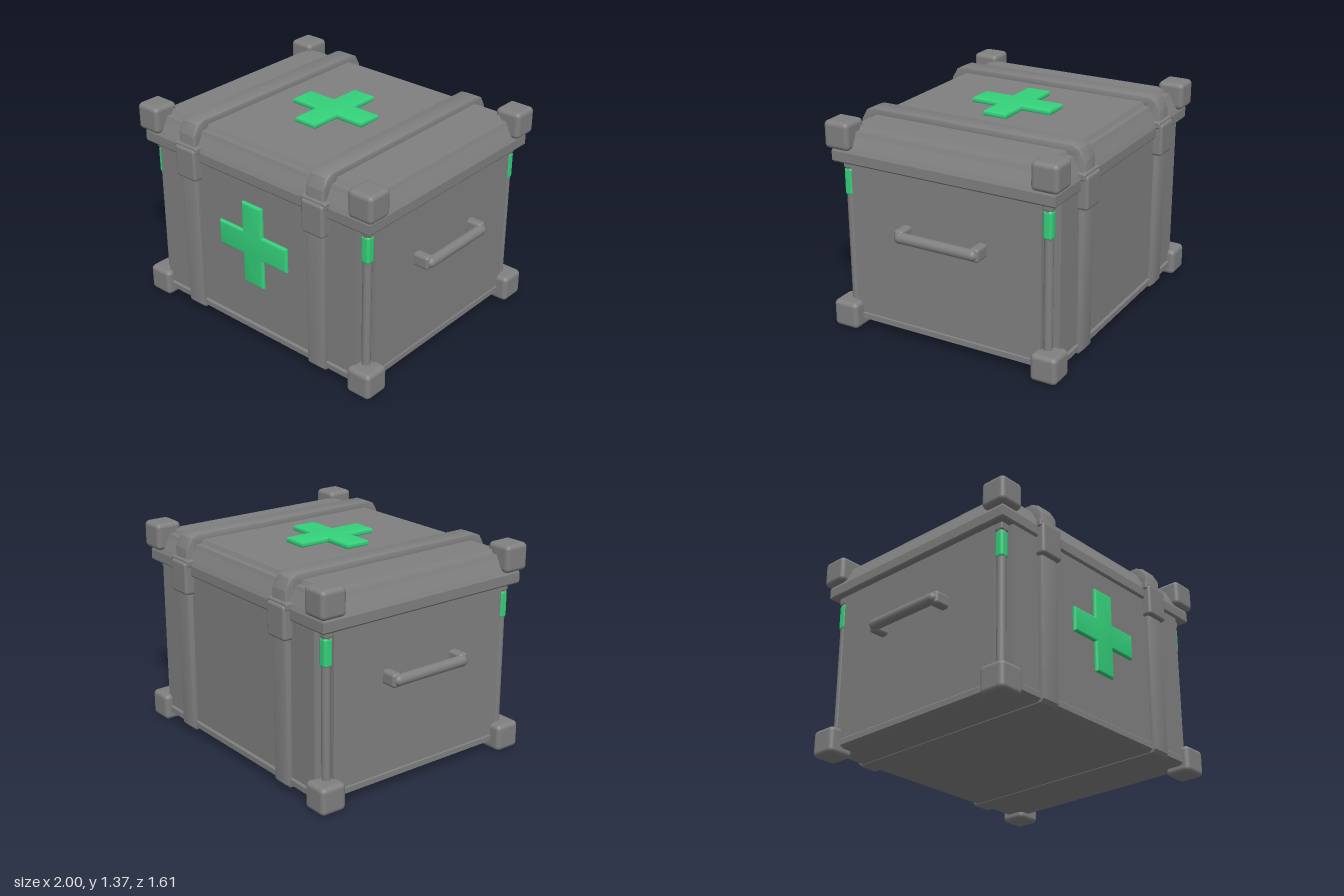
import * as THREE from 'three';
import { RoundedBoxGeometry } from 'three/addons/geometries/RoundedBoxGeometry.js';
import { toCreasedNormals } from 'three/addons/utils/BufferGeometryUtils.js';

export function createModel() {
  const metal = new THREE.MeshStandardMaterial({ color: 0x808080 });
  metal.name = 'grey metal';
  const green = new THREE.MeshStandardMaterial({ color: 0x34d27b });
  green.name = 'green';

  const crate = new THREE.Group();
  crate.name = 'medicalCrate';

  const add = (name, geometry, material, x = 0, y = 0, z = 0) => {
    const mesh = new THREE.Mesh(geometry, material);
    mesh.name = name;
    mesh.position.set(x, y, z);
    crate.add(mesh);
    return mesh;
  };
  // rounded box given by its limits
  const block = (name, material, x0, x1, y0, y1, z0, z1, r = 0.015) =>
    add(name, new RoundedBoxGeometry(x1 - x0, y1 - y0, z1 - z0, 2, r), material,
      (x0 + x1) / 2, (y0 + y1) / 2, (z0 + z1) / 2);
  const outline = (points) => new THREE.Shape(points.map(([x, y]) => new THREE.Vector2(x, y)));

  // stacked rectangles [half width, half depth, height] joined into a closed solid
  const loft = (rings) => {
    const corner = ([w, d, y], i) => [[w, y, d], [w, y, -d], [-w, y, -d], [-w, y, d]][i % 4];
    const pos = [];
    const quad = (a, b, c, d) => pos.push(...a, ...b, ...c, ...a, ...c, ...d);
    for (let r = 0; r < rings.length - 1; r++)
      for (let i = 0; i < 4; i++)
        quad(corner(rings[r], i), corner(rings[r], i + 1), corner(rings[r + 1], i + 1), corner(rings[r + 1], i));
    const top = rings[rings.length - 1];
    quad(...[0, 1, 2, 3].map((i) => corner(top, i)));
    quad(...[3, 2, 1, 0].map((i) => corner(rings[0], i)));
    const g = new THREE.BufferGeometry();
    g.setAttribute('position', new THREE.Float32BufferAttribute(pos, 3));
    g.computeVertexNormals();
    return g;
  };

  // body with notched vertical corners
  const W = 0.875, D = 0.745, w = 0.81, d = 0.655;
  const plan = outline([[W, -d], [W, d], [w, d], [w, D], [-w, D], [-w, d],
    [-W, d], [-W, -d], [-w, -d], [-w, -D], [w, -D], [w, -d]]);
  const bodyGeo = new THREE.ExtrudeGeometry(plan, { depth: 1.06, bevelEnabled: false });
  bodyGeo.rotateX(-Math.PI / 2);
  add('body', bodyGeo, metal, 0, 0.06, 0);

  // base rim
  add('baseRim', loft([[0.85, 0.73, 0.045], [0.88, 0.757, 0.06], [0.88, 0.757, 0.095], [0.87, 0.74, 0.11]]), metal);

  // lid with sloped shoulder and raised panel
  add('lid', loft([[0.91, 0.755, 1.1], [0.918, 0.763, 1.11], [0.918, 0.763, 1.17], [0.905, 0.75, 1.2],
    [0.87, 0.715, 1.27], [0.86, 0.705, 1.295], [0.825, 0.67, 1.295], [0.81, 0.655, 1.32]]), metal);

  // corner guards, posts and lamps
  for (const sx of [-1, 1]) for (const sz of [-1, 1]) {
    for (const y of [0.088, 1.277]) {
      add('cornerGuard', new RoundedBoxGeometry(0.176, 0.176, 0.176, 3, 0.03), metal, sx * 0.863, y, sz * 0.705);
    }
    const px = sx * 0.843, pz = sz * 0.686;
    add('cornerPost', new THREE.CylinderGeometry(0.028, 0.028, 1.05, 16), metal, px, 0.6, pz);
    add('lampCollar', new RoundedBoxGeometry(0.06, 0.05, 0.06, 2, 0.008), metal, px, 1.08, pz);
    add('lamp', new RoundedBoxGeometry(0.06, 0.18, 0.06, 3, 0.018), green, px, 0.965, pz);
  }

  // strap loops running over the lid and under the base
  const ring = outline([[-0.755, 0.04], [0.755, 0.04], [0.772, 0.06], [0.772, 1.27], [0.735, 1.335],
    [0.69, 1.355], [-0.69, 1.355], [-0.735, 1.335], [-0.772, 1.27], [-0.772, 0.06]]);
  ring.holes.push(new THREE.Path([[-0.7, 0.09], [-0.7, 1.2], [-0.6, 1.29], [0.6, 1.29], [0.7, 1.2], [0.7, 0.09]]
    .map(([x, y]) => new THREE.Vector2(x, y))));
  const strapGeo = new THREE.ExtrudeGeometry(ring,
    { depth: 0.112, bevelEnabled: true, bevelSize: 0.012, bevelThickness: 0.012, bevelOffset: -0.008, bevelSegments: 2 });
  strapGeo.translate(0, 0, -0.056);
  strapGeo.rotateY(-Math.PI / 2);
  const strapCreased = toCreasedNormals(strapGeo, 0.6);
  for (const x of [-0.523, 0.523]) {
    add('strap', strapCreased, metal, x);
    // clasps front and back
    for (const s of [-1, 1]) {
      const z = s * 0.765;
      add('clasp', new RoundedBoxGeometry(0.17, 0.215, 0.08, 3, 0.02), metal, x, 1.085, z);
      add('claspTab', new RoundedBoxGeometry(0.19, 0.045, 0.06, 2, 0.01), metal, x, 1.185, s * 0.762);
    }
  }

  // side handles
  for (const s of [-1, 1]) {
    const bar = add('handleBar', new THREE.CapsuleGeometry(0.035, 0.5, 6, 16), metal, s * 0.965, 0.725, 0);
    bar.rotation.x = Math.PI / 2;
    for (const z of [-0.262, 0.262]) {
      add('handleMount', new RoundedBoxGeometry(0.12, 0.088, 0.064, 3, 0.02), metal, s * 0.915, 0.725, z);
    }
  }

  // green crosses on the front and the lid
  const a = 0.265, b = 0.067;
  const crossShape = outline([[a, -b], [a, b], [b, b], [b, a], [-b, a], [-b, b],
    [-a, b], [-a, -b], [-b, -b], [-b, -a], [b, -a], [b, -b]]);
  const crossGeo = toCreasedNormals(new THREE.ExtrudeGeometry(crossShape,
    { depth: 0.012, bevelEnabled: true, bevelSize: 0.015, bevelThickness: 0.014, bevelSegments: 3 }), 0.7);
  add('frontCross', crossGeo, green, 0, 0.683, 0.741);
  add('lidCross', crossGeo, green, 0, 1.328, 0).rotation.x = -Math.PI / 2;

  return crate;
}
